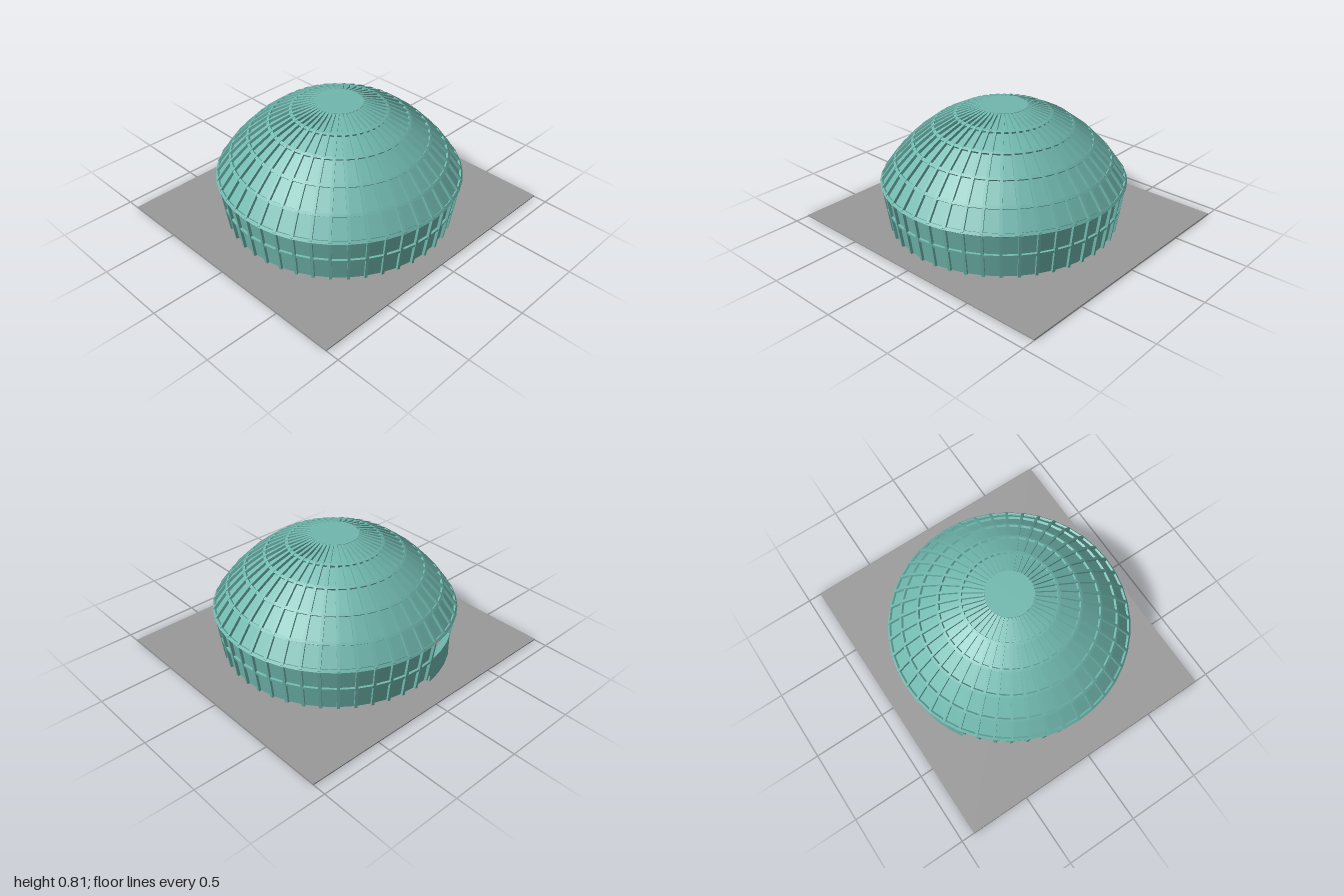
import * as THREE from 'three';

const SIDES = 44;
const STEP = (Math.PI * 2) / SIDES;
const DOOR_START = 34, DOOR_CELLS = 3;

// Outer profile (radius, height): sloping wall, eave, then the dome
const PROFILE = [
  [0.755, 0], [0.803, 0.33], [0.71, 0.46], [0.59, 0.585],
  [0.455, 0.69], [0.31, 0.765], [0.155, 0.81],
].map(([r, y]) => new THREE.Vector2(r, y));
const WALL = PROFILE.slice(0, 2), DOME = PROFILE.slice(1);

// Outward normal of a profile line at point i
function normalAt(line, i) {
  const a = line[Math.max(i - 1, 0)], b = line[Math.min(i + 1, line.length - 1)];
  return new THREE.Vector2(b.y - a.y, a.x - b.x).normalize();
}

const inset = (line, d) => line.map((p, i) => p.clone().addScaledVector(normalAt(line, i), -d));

// Thin profile band extruded sideways, centred on its own plane
function ribGeometry(line, width, depth) {
  const shape = new THREE.Shape([...line, ...inset(line, depth).reverse()]);
  return new THREE.ExtrudeGeometry(shape, { depth: width, bevelEnabled: false }).translate(0, 0, -width / 2);
}

// Square-section hoop lying on the profile
function hoopGeometry(p, n, height, depth, start = 0, cells = SIDES) {
  const t = new THREE.Vector2(-n.y, n.x);
  const corner = (d, h) => p.clone().addScaledVector(n, -d).addScaledVector(t, h * height / 2);
  const pts = [corner(depth, -1), corner(0.003, -1), corner(0.003, 1), corner(depth, 1), corner(depth, -1)];
  return new THREE.LatheGeometry(pts, cells, start * STEP, cells * STEP);
}

export function createModel() {
  const model = new THREE.Group();
  const teal = new THREE.MeshStandardMaterial({ color: 0x70b8ae, flatShading: true, side: THREE.DoubleSide });
  const grey = new THREE.MeshStandardMaterial({ color: 0x999999 });

  const ground = new THREE.Mesh(new THREE.BoxGeometry(1.82, 0.008, 2), grey);
  ground.name = 'groundSlab';
  ground.position.y = 0.004;
  model.add(ground);

  const building = new THREE.Group();
  building.name = 'domeBuilding';
  building.position.set(0.028, 0, 0.015);
  model.add(building);
  const add = (name, geometry, angle = 0) => {
    const mesh = new THREE.Mesh(geometry, teal);
    mesh.name = name;
    mesh.rotation.y = angle;
    building.add(mesh);
    return mesh;
  };

  // Recessed panels; the wall leaves the door cells open
  const wallStart = DOOR_START + DOOR_CELLS, wallCells = SIDES - DOOR_CELLS;
  add('domePanels', new THREE.LatheGeometry(inset(DOME, 0.018), SIDES));
  add('wallPanels', new THREE.LatheGeometry(inset(WALL, 0.018), wallCells, wallStart * STEP, wallCells * STEP));

  // Vertical ribs
  const domeRib = ribGeometry(DOME, 0.018, 0.03);
  const wallRib = ribGeometry(WALL, 0.018, 0.03);
  for (let i = 0; i < SIDES; i++) {
    const angle = i * STEP - Math.PI / 2;
    add('domeRib', domeRib, angle);
    if (i <= DOOR_START || i >= wallStart) add('wallRib', wallRib, angle);
  }

  // Horizontal hoops at each bend and half way up the wall
  DOME.slice(0, -1).forEach((p, i) => add('domeHoop', hoopGeometry(p, normalAt(DOME, i), 0.02, 0.028)));
  const middle = WALL[0].clone().lerp(WALL[1], 0.5);
  add('wallHoop', hoopGeometry(middle, normalAt(WALL, 0), 0.018, 0.028, wallStart, wallCells));

  // Upright door with a lintel, filling the lower half of the opening
  const doorProfile = [[0.745, 0], [0.775, 0], [0.775, 0.165], [0.745, 0.165], [0.745, 0]]
    .map(([r, y]) => new THREE.Vector2(r, y));
  add('door', new THREE.LatheGeometry(doorProfile, DOOR_CELLS, DOOR_START * STEP, DOOR_CELLS * STEP));
  add('doorLintel', hoopGeometry(new THREE.Vector2(0.782, 0.172), new THREE.Vector2(1, 0), 0.018, 0.04, DOOR_START, DOOR_CELLS));

  // Flat crown
  add('crownCap', new THREE.CylinderGeometry(0.155, 0.155, 0.02, SIDES)).position.y = 0.802;

  return model;
}
